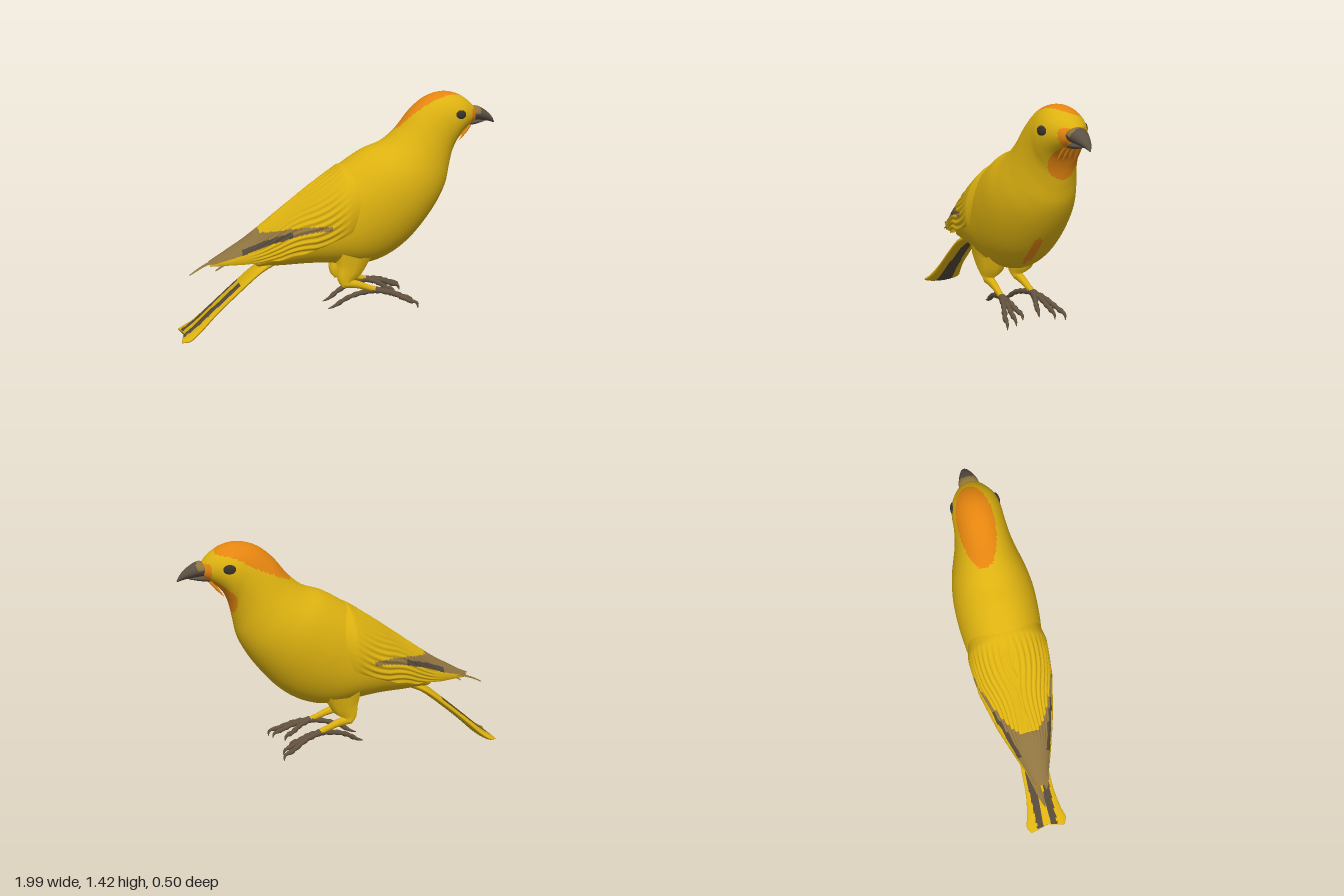
import * as THREE from 'three';

const V = (x, y, z = 0) => new THREE.Vector3(x, y, z);
const mat = (name, color) => {
  const m = new THREE.MeshStandardMaterial({ color, side: THREE.DoubleSide });
  m.name = name;
  return m;
};
const lerpTable = (table, x) => {
  // table of [x, value] with x falling
  for (let i = 1; i < table.length; i++) {
    const [x0, a] = table[i - 1], [x1, b] = table[i];
    if (x >= x1) return a + (b - a) * THREE.MathUtils.clamp((x - x0) / (x1 - x0), 0, 1);
  }
  return table[table.length - 1][1];
};
const inEllipse = (a, b, ra, rb) => (a / ra) ** 2 + (b / rb) ** 2 < 1;

// Surface over a grid; pick(centroid, u, v) chooses the material of each face
function surface(name, nu, nv, point, closed, mats, pick) {
  const cols = closed ? nv : nv + 1, pos = [], lists = mats.map(() => []);
  for (let i = 0; i <= nu; i++)
    for (let j = 0; j < cols; j++) pos.push(...point(i / nu, j / nv).toArray());
  const at = k => V(pos[3 * k], pos[3 * k + 1], pos[3 * k + 2]);
  for (let i = 0; i < nu; i++)
    for (let j = 0; j < nv; j++) {
      const k = (j + 1) % cols;
      const a = i * cols + j, b = a + cols, c = i * cols + k, d = c + cols;
      const mid = at(a).add(at(b)).add(at(c)).add(at(d)).multiplyScalar(0.25);
      lists[pick ? pick(mid, (i + 0.5) / nu, (j + 0.5) / nv) : 0].push(a, b, c, c, b, d);
    }
  const g = new THREE.BufferGeometry();
  g.setAttribute('position', new THREE.Float32BufferAttribute(pos, 3));
  g.setIndex(lists.flat());
  let start = 0;
  lists.forEach((l, i) => { g.addGroup(start, l.length, i); start += l.length; });
  g.computeVertexNormals();
  const mesh = new THREE.Mesh(g, mats);
  mesh.name = name;
  return mesh;
}

// Elliptical loft; each key is [topX, topY, bottomX, bottomY, halfWidth], running from +x to -x
function loft(name, keys, nu, nv, mats, pick, z0 = 0, warp) {
  const top = new THREE.CatmullRomCurve3(keys.map(k => V(k[0], k[1], k[4])));
  const bottom = new THREE.CatmullRomCurve3(keys.map(k => V(k[2], k[3])));
  return surface(name, nu + 2, nv, (u, v) => {
    const i = Math.round(u * (nu + 2)), end = i === 0 || i === nu + 2;
    const t = THREE.MathUtils.clamp((i - 1) / nu, 0, 1);
    const T = top.getPoint(t), B = bottom.getPoint(t), w = T.z, a = v * Math.PI * 2;
    const r = end ? 0 : 1, c = (1 + r * Math.cos(a)) / 2;
    const p = V(B.x + (T.x - B.x) * c, B.y + (T.y - B.y) * c, z0 + r * w * Math.sin(a));
    return warp ? warp(p, t, w) : p;
  }, true, mats, pick);
}

// Tapering tube with a radius that follows a list
function limb(name, points, radii, material, bump = 0) {
  const n = 24, sides = 8, curve = new THREE.CatmullRomCurve3(points);
  const g = new THREE.TubeGeometry(curve, n, 1, sides);
  const p = g.attributes.position, q = V(0, 0);
  for (let i = 0; i <= n; i++) {
    const c = curve.getPointAt(i / n), f = i / n * (radii.length - 1);
    const k = Math.min(Math.floor(f), radii.length - 2);
    const r = (radii[k] + (radii[k + 1] - radii[k]) * (f - k)) * (1 + bump * Math.sin(i * 1.5));
    for (let j = 0; j <= sides; j++) {
      const id = i * (sides + 1) + j;
      q.fromBufferAttribute(p, id).sub(c).multiplyScalar(r).add(c);
      p.setXYZ(id, q.x, q.y, q.z);
    }
  }
  const mesh = new THREE.Mesh(g, material);
  mesh.name = name;
  return mesh;
}

export function createModel() {
  const yellow = mat('yellow plumage', 0xdcb110), orange = mat('orange plumage', 0xe5850f);
  const taupe = mat('taupe feather', 0x8f7440), dark = mat('dark feather', 0x55483a);
  const horn = mat('beak horn', 0x5c5044), skin = mat('foot skin', 0x63523f), black = mat('eye', 0x38332c);
  const bird = new THREE.Group();
  bird.name = 'bird';

  // Head and body with orange crown, throat, lores and belly streak
  bird.add(loft('body', [
    [0.87, 1.31, 0.84, 1.23, 0.05], [0.82, 1.365, 0.79, 1.195, 0.095], [0.75, 1.41, 0.745, 1.15, 0.13],
    [0.66, 1.43, 0.72, 1.1, 0.145], [0.55, 1.405, 0.705, 1.05, 0.15], [0.45, 1.33, 0.69, 0.97, 0.163],
    [0.36, 1.22, 0.67, 0.87, 0.19], [0.27, 1.145, 0.62, 0.765, 0.222], [0.15, 1.1, 0.53, 0.635, 0.245],
    [0, 1.01, 0.42, 0.515, 0.248], [-0.1, 0.94, 0.3, 0.435, 0.238], [-0.2, 0.86, 0.17, 0.395, 0.222],
    [-0.32, 0.77, 0, 0.405, 0.195], [-0.42, 0.69, -0.18, 0.42, 0.16], [-0.5, 0.6, -0.37, 0.42, 0.115],
    [-0.56, 0.48, -0.51, 0.425, 0.07],
  ], 130, 96, [yellow, orange], p => {
    const crown = p.y > 1.2 && p.x < 0.8 && inEllipse(p.x - 0.57, p.z + 0.03, 0.22, 0.105);
    const throat = p.x > 0.66 && inEllipse(p.y - 1.135, p.z + 0.015, 0.11, 0.1);
    const lores = p.x > 0.815 && p.y < 1.325;
    const streak = p.x > 0.25 && inEllipse(p.y - 0.575, p.z - 0.04, 0.105, 0.024);
    const vent = p.x > 0.02 && p.x < 0.27 && p.y < 0.42 && Math.abs(p.z) < 0.05;
    return crown || throat || lores || streak || vent ? 1 : 0;
  }));

  // Beak: hooked upper half and small lower half
  bird.add(loft('upperBeak', [
    [1, 1.228, 0.995, 1.222, 0.004], [0.975, 1.268, 0.965, 1.232, 0.022],
    [0.925, 1.31, 0.9, 1.242, 0.045], [0.87, 1.333, 0.84, 1.25, 0.06], [0.84, 1.32, 0.81, 1.26, 0.05],
  ], 24, 24, [horn, taupe], p => (p.x < 0.89 && p.y > 1.29 ? 1 : 0)));
  bird.add(loft('lowerBeak', [
    [0.935, 1.24, 0.93, 1.232, 0.008], [0.88, 1.25, 0.865, 1.218, 0.033], [0.81, 1.25, 0.79, 1.21, 0.04],
  ], 12, 20, [horn]));
  // Throat bristles under the beak
  for (const z of [-0.045, -0.015, 0.015, 0.045])
    bird.add(limb('throatBristle', [V(0.82, 1.22, z), V(0.785, 1.18, z * 1.1), V(0.745, 1.13, z * 1.2)],
      [0.008, 0.009, 0.001], orange));

  // Wing outline along x: ridge, lower edge, half width, and the stripe limits
  const ridge = [[0.12, 1.04], [0, 1.015], [-0.2, 0.875], [-0.5, 0.655], [-0.6, 0.59], [-0.8, 0.475]];
  const edge = [[0.12, 0.72], [0, 0.64], [-0.2, 0.555], [-0.4, 0.5], [-0.6, 0.47], [-0.8, 0.452]];
  const width = [[0.12, 0.215], [0, 0.246], [-0.2, 0.226], [-0.4, 0.175], [-0.6, 0.112], [-0.8, 0.035]];
  const stripeTop = [[-0.1, 0.695], [-0.2, 0.7], [-0.35, 0.68], [-0.5, 0.645], [-0.56, 0.7]];
  const stripeLow = [[-0.1, 0.675], [-0.2, 0.667], [-0.35, 0.63], [-0.5, 0.575], [-0.6, 0.53], [-0.78, 0.465]];

  for (const s of [1, -1]) {
    const side = s > 0 ? 'left' : 'right';
    bird.add(surface(side + 'Wing', 90, 60, (u, v) => {
      const x = 0.12 - 0.92 * u, a = v * 0.6 * Math.PI;
      const yt = lerpTable(ridge, x), yb = lerpTable(edge, x), yc = (yb + 0.31 * yt) / 1.31;
      // rippled feather rows on the back
      const rows = 0.005 * Math.sin(v * 75 + 3 * Math.sin(x * 14)) *
        THREE.MathUtils.smoothstep(-x, -0.03, 0.1) * (1 - THREE.MathUtils.smoothstep(-x, 0.45, 0.6));
      const w = lerpTable(width, x) + rows;
      return V(x, yc + (yt - yc + rows) * Math.cos(a), s * w * Math.sin(a));
    }, false, [yellow, taupe, dark], p => {
      const low = lerpTable(stripeLow, p.x);
      if (p.x > -0.11 || p.y < low || p.y > lerpTable(stripeTop, p.x)) return 0;
      return p.x < -0.33 && p.x > -0.62 && p.y < low + 0.03 ? 2 : 1;
    }));

    // Loose flight feathers at the wing tip
    const tips = s > 0 ? [[-0.77, 0.42, 0.035], [-0.83, 0.455, 0.02]] : [[-0.92, 0.39, 0.01], [-0.76, 0.43, 0.04]];
    for (const [x, y, z] of tips)
      bird.add(surface(side + 'FlightFeather', 12, 4, (u, v) => V(
        -0.58 + (x + 0.58) * u, 0.51 + (y - 0.51) * (0.55 * u + 0.45 * u ** 3) + 0.008 * Math.sin(v * Math.PI),
        s * (0.07 + (z - 0.07) * u + (v - 0.5) * 0.055 * Math.sqrt(1 - u * u))), false, [taupe]));

    // Eye
    const eye = new THREE.Mesh(new THREE.SphereGeometry(1, 24, 16), black);
    eye.name = side + 'Eye';
    eye.scale.set(0.036, 0.028, 0.014);
    eye.position.set(0.722, 1.302, s * 0.131);
    eye.rotation.y = s * 0.2;
    bird.add(eye);

    // Feathered thigh and shank
    bird.add(limb(side + 'Thigh', [V(0.06, 0.5, s * 0.11), V(0.04, 0.4, s * 0.1), V(0.01, 0.32, s * 0.097), V(0.015, 0.27, s * 0.1)],
      [0.12, 0.105, 0.085, 0.055, 0.02], yellow));
    bird.add(limb(side + 'Shank', [V(0, 0.295, s * 0.1), V(0.08, 0.28, s * 0.1), V(0.15, 0.255, s * 0.102), V(0.23, 0.225, s * 0.107)],
      [0.03, 0.025, 0.019, 0.02], yellow));

    // Three front toes and one back toe, each ending in a claw
    const root = V(0.2, 0.235, s * 0.105);
    const toes = [
      [V(0.3, 0.215, s * 0.14), V(0.4, 0.17, s * 0.18), V(0.445, 0.155, s * 0.19), V(0.452, 0.12, s * 0.192)],
      [V(0.3, 0.215, s * 0.115), V(0.38, 0.18, s * 0.125), V(0.43, 0.16, s * 0.128), V(0.44, 0.13, s * 0.128)],
      [V(0.27, 0.215, s * 0.085), V(0.33, 0.18, s * 0.065), V(0.37, 0.165, s * 0.055), V(0.38, 0.135, s * 0.055)],
      [V(0.1, 0.215, s * 0.09), V(0.02, 0.185, s * 0.08), V(-0.05, 0.14, s * 0.07), V(-0.09, 0.125, s * 0.068)],
    ];
    for (const path of toes)
      bird.add(limb(side + 'Toe', [root, ...path], [0.02, 0.018, 0.016, 0.015, 0.014, 0.002], skin, 0.15));
  }

  // Flat tail with dark streaks and a shallow notch
  bird.add(loft('tail', [
    [-0.42, 0.49, -0.39, 0.43, 0.06], [-0.52, 0.425, -0.49, 0.385, 0.078], [-0.66, 0.31, -0.635, 0.27, 0.085],
    [-0.8, 0.187, -0.775, 0.147, 0.092], [-0.91, 0.09, -0.885, 0.045, 0.115], [-0.96, 0.055, -0.94, 0.012, 0.13],
    [-0.998, 0.035, -0.985, 0.008, 0.112],
  ], 60, 64, [yellow, dark, taupe], (p, u, v) => {
    const z = Math.abs(p.z);
    if (v > 0.25 && v < 0.75) return u > 0.92 ? 2 : z < 0.015 + 0.055 * u ? 1 : 0;
    return u > 0.3 && u < 0.95 && z > 0.022 && z < 0.066 ? 1 : 0;
  }, 0, (p, t, w) => {
    p.x += 0.03 * (1 - Math.min(1, Math.abs(p.z) / w)) * t ** 8;
    return p;
  }));

  return bird;
}
